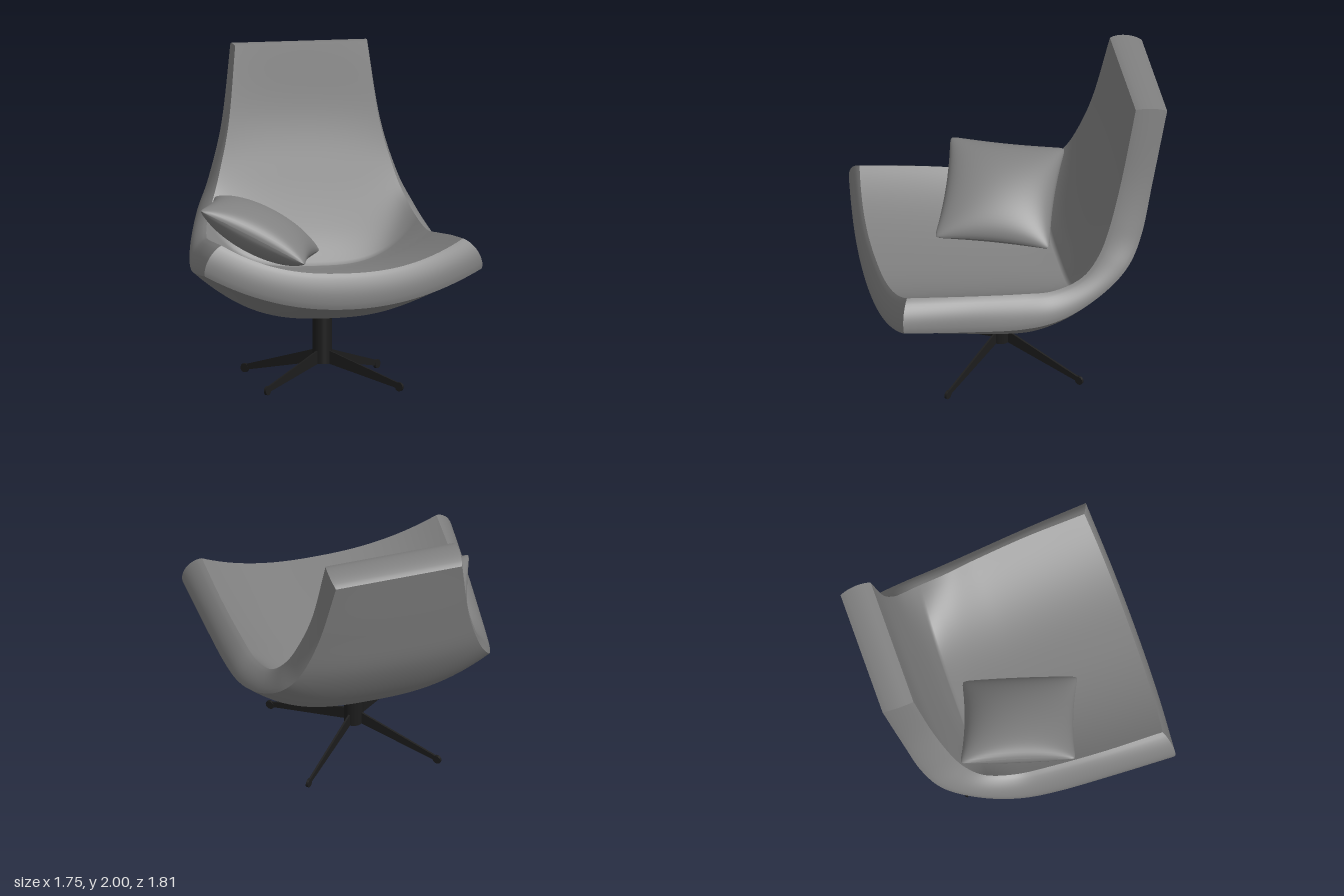
import * as THREE from 'three';

const V = (x, y, z) => new THREE.Vector3(x, y, z);
const upholstery = new THREE.MeshStandardMaterial({ color: 0x808080 });
const cushionFabric = new THREE.MeshStandardMaterial({ color: 0x808080 });
const darkMetal = new THREE.MeshStandardMaterial({ color: 0x1c1c1c });

// Smooth patch from a point rule f(u, v), u and v in 0..1; it faces dP/du x dP/dv
function patch(f, nu, nv) {
  const pos = [], idx = [];
  for (let i = 0; i <= nu; i++)
    for (let j = 0; j <= nv; j++) pos.push(...f(i / nu, j / nv).toArray());
  for (let i = 0; i < nu; i++)
    for (let j = 0; j < nv; j++) {
      const a = i * (nv + 1) + j, b = a + nv + 1;
      idx.push(a, b, b + 1, a, b + 1, a + 1);
    }
  const g = new THREE.BufferGeometry();
  g.setAttribute('position', new THREE.Float32BufferAttribute(pos, 3));
  g.setIndex(idx);
  g.computeVertexNormals();
  return g;
}

function add(parent, name, geometry, material) {
  const m = new THREE.Mesh(geometry, material);
  m.name = name;
  parent.add(m);
  return m;
}

const spline = (pts) => new THREE.CatmullRomCurve3(pts.map((p) => V(...p)), false, 'catmullrom', 0.5);

// Guide curves from the seat front to the top of the back (x, y, z)
const seatMid = spline([[0, .82, .86], [0, .77, .5], [0, .71, .1], [0, .675, -.15], [0, .665, -.3]]);
const backMid = spline([[0, .665, -.3], [0, .88, -.395], [0, 1.2, -.51], [0, 1.55, -.618], [0, 1.99, -.705]]);
const innerMid = (u) => (u < 0.5 ? seatMid.getPoint(u * 2) : backMid.getPoint(u * 2 - 1));
const innerEdge = spline([[.76, 1.01, .81], [.748, .965, .42], [.72, .92, .07], [.695, .902, -.13],
  [.66, .95, -.31], [.61, 1.055, -.425], [.55, 1.22, -.51], [.472, 1.53, -.606], [.415, 1.99, -.705]]);
const outerMid = spline([[0, .6, .905], [0, .505, .58], [0, .435, .27], [0, .41, .04],
  [0, .49, -.22], [0, .72, -.475], [0, 1.07, -.69], [0, 1.45, -.795], [0, 1.955, -.905]]);
const outerEdge = spline([[.872, .825, .85], [.85, .77, .47], [.825, .727, .1], [.797, .745, -.15],
  [.745, .84, -.39], [.672, .985, -.592], [.58, 1.17, -.708], [.484, 1.49, -.798], [.408, 1.955, -.905]]);

// Cross-section: s runs -1..1 across, bending from the middle up to the edge
function section(mid, edge, s, power) {
  const p = mid.clone().lerp(edge, Math.pow(Math.abs(s), power));
  p.x = s * edge.x;
  return p;
}
const inner = (u, s) => section(innerMid(u), innerEdge.getPoint(u), s,
  2.4 + Math.exp(-(((u - 0.52) / 0.12) ** 2)));
const outer = (u, s) => section(outerMid.getPoint(u), outerEdge.getPoint(u), s,
  2.1 + 0.7 * Math.sin(Math.PI * u));

// Padded rim between the two faces, t = 0 inner to t = 1 outer
function rim(u, s, t) {
  const bulge = V(0.032 * (1 - 0.6 * u) * s ** 9, 0.015 * s ** 8 * (1 - u) + 0.022 * u ** 20, 0.02 * (1 - u) ** 20);
  return inner(u, s).lerp(outer(u, s), t).addScaledVector(bulge, Math.pow(Math.sin(Math.PI * Math.min(t, 1 - t)), 0.7));
}

function makeShell() {
  const g = new THREE.Group();
  g.name = 'shell';
  add(g, 'seatAndBackInside', patch((u, v) => inner(u, 1 - 2 * v), 80, 40), upholstery);
  add(g, 'shellOutside', patch((u, v) => outer(u, 2 * v - 1), 80, 40), upholstery);
  add(g, 'leftRim', patch((u, v) => rim(u, 1, 1 - v), 80, 12), upholstery);
  add(g, 'rightRim', patch((u, v) => rim(u, -1, v), 80, 12), upholstery);
  add(g, 'frontRim', patch((u, v) => rim(0, 2 * u - 1, 1 - v), 40, 12), upholstery);
  add(g, 'topRim', patch((u, v) => rim(1, 2 * u - 1, v), 40, 12), upholstery);
  return g;
}

// Pillow: two full domed faces meeting in a lightly pinched seam with blunt corners
function makeCushion() {
  const g = new THREE.Group();
  g.name = 'cushion';
  const centre = V(-0.38, 0.95, -0.003);
  const ea = V(0.312, -0.16, 0.112), eb = V(-0.106, 0.018, 0.343);
  const n = eb.clone().cross(ea).normalize();
  const face = (side) => (u, v) => {
    const a = Math.sin((u - 0.5) * Math.PI) * side, b = Math.sin((v - 0.5) * Math.PI);
    const dome = Math.pow(Math.max(0, (1 - a * a) * (1 - b * b)), 0.48);
    const shrink = (c) => 1 - 0.06 * (1 - c * c) - 0.025 * c ** 24;
    return centre.clone()
      .addScaledVector(ea, a * shrink(b))
      .addScaledVector(eb, b * shrink(a))
      .addScaledVector(n, -side * 0.145 * dome);
  };
  add(g, 'cushionBottom', patch(face(1), 32, 32), cushionFabric);
  add(g, 'cushionTop', patch(face(-1), 32, 32), cushionFabric);
  return g;
}

// Swivel column with four thin tapered blades ending in round disc feet
function makeBase() {
  const g = new THREE.Group();
  g.name = 'swivelBase';
  g.position.z = 0.068;
  add(g, 'column', new THREE.CylinderGeometry(0.06, 0.06, 0.33, 32), darkMetal).position.y = 0.285;
  const reach = 0.415 * Math.SQRT2;
  const profile = new THREE.Shape([[0.03, 0.125], [reach, 0.015], [reach, 0.05], [0.03, 0.21]]
    .map((p) => new THREE.Vector2(...p)));
  const legGeo = new THREE.ExtrudeGeometry(profile, { depth: 0.012, bevelEnabled: false });
  legGeo.translate(0, 0, -0.006);
  const footGeo = new THREE.CylinderGeometry(0.028, 0.028, 0.016, 24);
  footGeo.rotateX(Math.PI / 2);
  for (let i = 0; i < 4; i++) {
    const leg = new THREE.Group();
    leg.name = 'leg';
    leg.rotation.y = Math.PI / 4 + (i * Math.PI) / 2;
    add(leg, 'legBlade', legGeo, darkMetal);
    add(leg, 'foot', footGeo, darkMetal).position.set(reach, 0.028, 0);
    g.add(leg);
  }
  return g;
}

export function createModel() {
  const model = new THREE.Group();
  model.name = 'loungeChair';
  model.add(makeShell(), makeCushion(), makeBase());
  return model;
}
